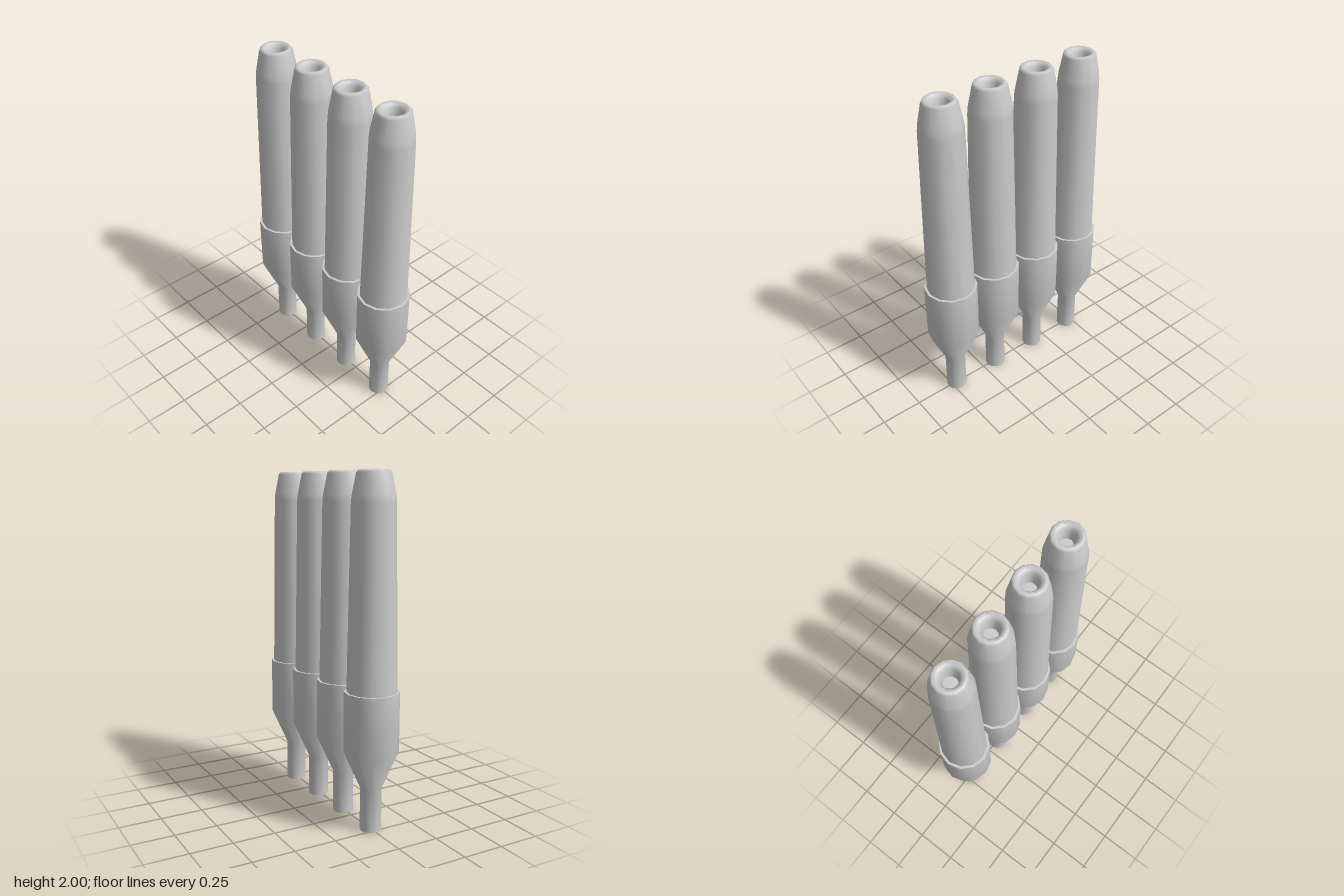
import * as THREE from 'three';

const SIDES = 12;
const material = new THREE.MeshStandardMaterial({ color: 0xcccccc, side: THREE.DoubleSide });

// Revolve a list of [radius, height] pairs around the y axis
function turned(name, profile) {
  const points = profile.map(([r, y]) => new THREE.Vector2(r, y));
  const mesh = new THREE.Mesh(new THREE.LatheGeometry(points, SIDES), material);
  mesh.name = name;
  return mesh;
}

function createTube() {
  const tube = new THREE.Group();
  // Narrow open stem flaring into the wide collar
  tube.add(turned('stemAndCollar', [[0.061, 0], [0.061, 0.25], [0.155, 0.46], [0.155, 0.81]]));
  // Flat step between collar and barrel
  tube.add(turned('collarLedge', [[0.155, 0.81], [0.14, 0.81]]));
  // Tapered barrel with a chamfered shoulder and rounded lip
  tube.add(turned('barrel', [
    [0.14, 0.81], [0.121, 1.83], [0.117, 1.87], [0.094, 1.985], [0.083, 2], [0.062, 1.995],
    [0.05, 1.975], [0.042, 1.94], [0.038, 1.9],
  ]));
  // Floor of the bore
  tube.add(turned('boreFloor', [[0.038, 1.9], [0, 1.9]]));
  return tube;
}

export function createModel() {
  const model = new THREE.Group();
  model.name = 'tubeRow';
  // Four identical tubes side by side, front to back
  for (let i = 0; i < 4; i++) {
    const tube = createTube();
    tube.name = `tube${i + 1}`;
    tube.position.z = (1.5 - i) * 0.309;
    model.add(tube);
  }
  return model;
}
